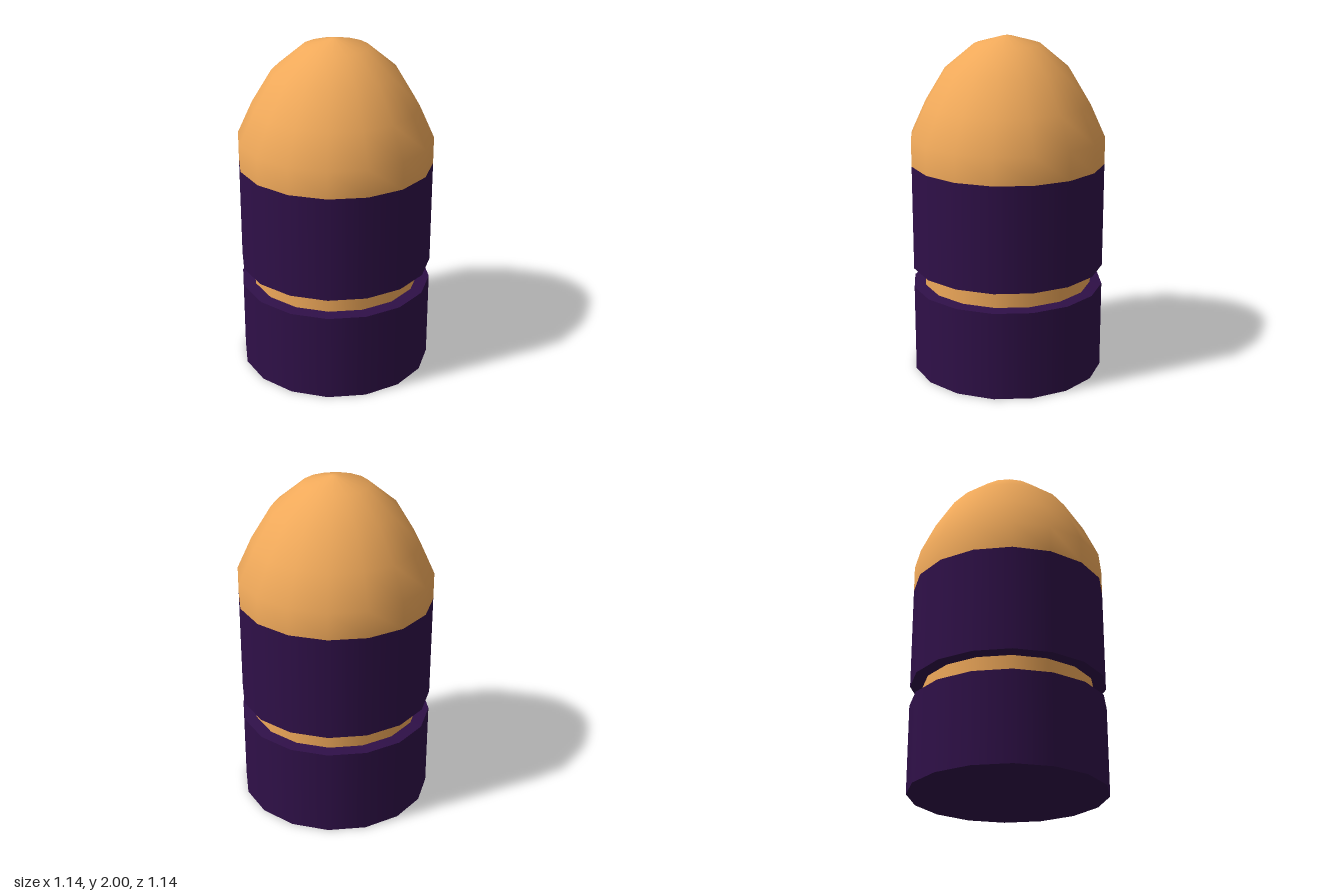
import * as THREE from 'three';

const SIDES = 16;
const R = 0.57; // casing radius
const NECK = 0.5; // groove radius

export function createModel() {
  const model = new THREE.Group();
  const orange = new THREE.MeshStandardMaterial({ color: 0xf0a95a });
  const purple = new THREE.MeshStandardMaterial({ color: 0x2f1048 });

  // Turned part: profile of [radius, height] points, listed so the surface faces outward
  function turned(name, profile, material, parent = model) {
    const points = profile.map(([r, y]) => new THREE.Vector2(r, y));
    const mesh = new THREE.Mesh(new THREE.LatheGeometry(points, SIDES), material);
    mesh.name = name;
    parent.add(mesh);
  }

  // Casing section: separate wall and end faces keep the rims sharp
  function casing(name, outerBottom, outerTop, bottomFace, topFace) {
    const group = new THREE.Group();
    group.name = name;
    model.add(group);
    turned(name + 'Wall', [[R, outerBottom], [R, outerTop]], purple, group);
    if (bottomFace) turned(name + 'Underside', bottomFace, purple, group);
    if (topFace) turned(name + 'Rim', topFace, purple, group);
  }

  // Lower casing with closed base, and upper casing, both sloping slightly into the groove
  casing('lowerCasing', 0, 0.525, [[0, 0], [R, 0]], [[R, 0.525], [NECK, 0.533]]);
  casing('upperCasing', 0.643, 1.265, [[NECK, 0.635], [R, 0.643]], null);

  // Recessed ring between the casings
  turned('grooveRing', [[NECK, 0.533], [NECK, 0.635]], orange);

  // Rounded nose with a short straight collar
  turned('nose', [
    [R, 1.265], [R, 1.425], [0.483, 1.615], [0.365, 1.81],
    [0.193, 1.953], [0.025, 2], [0, 2],
  ], orange);

  return model;
}
